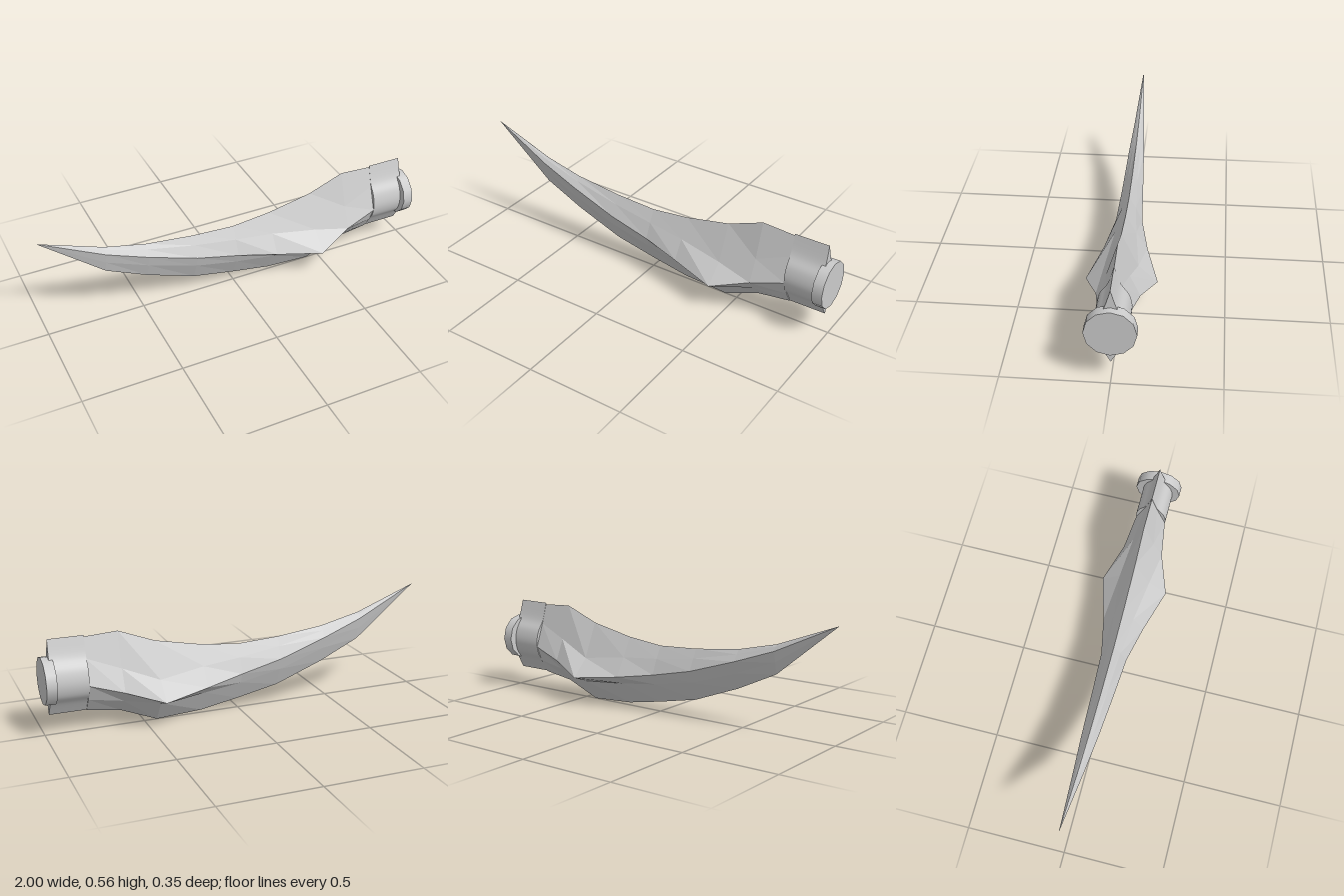
import * as THREE from 'three';
import { toCreasedNormals } from 'three/addons/utils/BufferGeometryUtils.js';

// Blade stations: x, top y, upper flank (z, y), side ridge (z, y), lower flank (z, y), bottom y
const STATIONS = [
  [-1.00, 0.557, 0, 0.557, 0, 0.557, 0, 0.557, 0.557],
  [-0.68, 0.435, 0.011, 0.425, 0.025, 0.405, 0.014, 0.35, 0.29],
  [-0.47, 0.385, 0.018, 0.362, 0.041, 0.33, 0.026, 0.27, 0.19],
  [-0.22, 0.355, 0.025, 0.31, 0.055, 0.25, 0.038, 0.19, 0.095],
  [0.00, 0.343, 0.034, 0.28, 0.067, 0.202, 0.048, 0.15, 0.05],
  [0.20, 0.365, 0.052, 0.265, 0.108, 0.17, 0.06, 0.128, 0.014],
  [0.435, 0.413, 0.08, 0.235, 0.173, 0.145, 0.075, 0.11, 0],
  [0.62, 0.485, 0.055, 0.31, 0.104, 0.2, 0.06, 0.145, 0.075],
  [0.79, 0.475, 0.032, 0.375, 0.078, 0.25, 0.045, 0.17, 0.1],
];

// Closed section mirrored in z, from a half profile of points running top to bottom
function mirrorSection(half) {
  const other = half.slice(1, -1).reverse().map((p) => new THREE.Vector3(p.x, p.y, -p.z));
  return [...half, ...other];
}

// Skin over sections ordered by rising x, closed at both ends
function loft(sections) {
  const positions = [];
  const triangle = new THREE.Triangle();
  const tri = (a, b, c) => {
    if (triangle.set(a, b, c).getArea() < 1e-8) return; // collapsed at a point
    for (const p of [a, b, c]) positions.push(p.x, p.y, p.z);
  };
  const centreOf = (section) => section
    .reduce((sum, p) => sum.add(p), new THREE.Vector3())
    .divideScalar(section.length);
  const n = sections[0].length;
  const first = sections[0];
  const last = sections[sections.length - 1];
  const firstCentre = centreOf(first);
  const lastCentre = centreOf(last);
  for (let j = 0; j < n; j++) {
    const k = (j + 1) % n;
    for (let i = 0; i < sections.length - 1; i++) {
      tri(sections[i][j], sections[i][k], sections[i + 1][k]);
      tri(sections[i][j], sections[i + 1][k], sections[i + 1][j]);
    }
    tri(firstCentre, first[k], first[j]);
    tri(lastCentre, last[j], last[k]);
  }
  const geometry = new THREE.BufferGeometry();
  geometry.setAttribute('position', new THREE.Float32BufferAttribute(positions, 3));
  geometry.computeVertexNormals();
  return geometry;
}

function bladeGeometry() {
  return loft(STATIONS.map(([x, top, uz, uy, rz, ry, lz, ly, bottom]) => mirrorSection([
    new THREE.Vector3(x, top, 0),
    new THREE.Vector3(x, uy, uz),
    new THREE.Vector3(x, ry, rz),
    new THREE.Vector3(x, ly, lz),
    new THREE.Vector3(x, bottom, 0),
  ])));
}

// Rounded sleeve with a pointed fin above and below; its outer end leans slightly
function collarGeometry() {
  const profile = new THREE.SplineCurve([
    [0, 0.483], [0.029, 0.39], [0.065, 0.335], [0.08, 0.27], [0.068, 0.21], [0.036, 0.165], [0, 0.103],
  ].map(([z, y]) => new THREE.Vector2(z, y))).getPoints(24);
  const section = (xAt) => mirrorSection(profile.map((p) => new THREE.Vector3(xAt(p.y), p.y, p.x)));
  const geometry = loft([section(() => 0.787), section((y) => 0.978 - 0.03 * y)]);
  return toCreasedNormals(geometry, Math.PI / 5);
}

export function createModel() {
  const model = new THREE.Group();
  const add = (name, geometry, flatShading) => {
    const material = new THREE.MeshStandardMaterial({ color: 0xcccccc, flatShading });
    const mesh = new THREE.Mesh(geometry, material);
    mesh.name = name;
    model.add(mesh);
    return mesh;
  };

  add('blade', bladeGeometry(), true);
  add('collar', collarGeometry(), false);

  // Twelve-sided end cap on the collar
  const cap = add('endCap', new THREE.CylinderGeometry(0.118, 0.118, 0.052, 12), false);
  cap.rotation.z = -Math.PI / 2;
  cap.position.set(0.974, 0.278, 0);

  return model;
}
